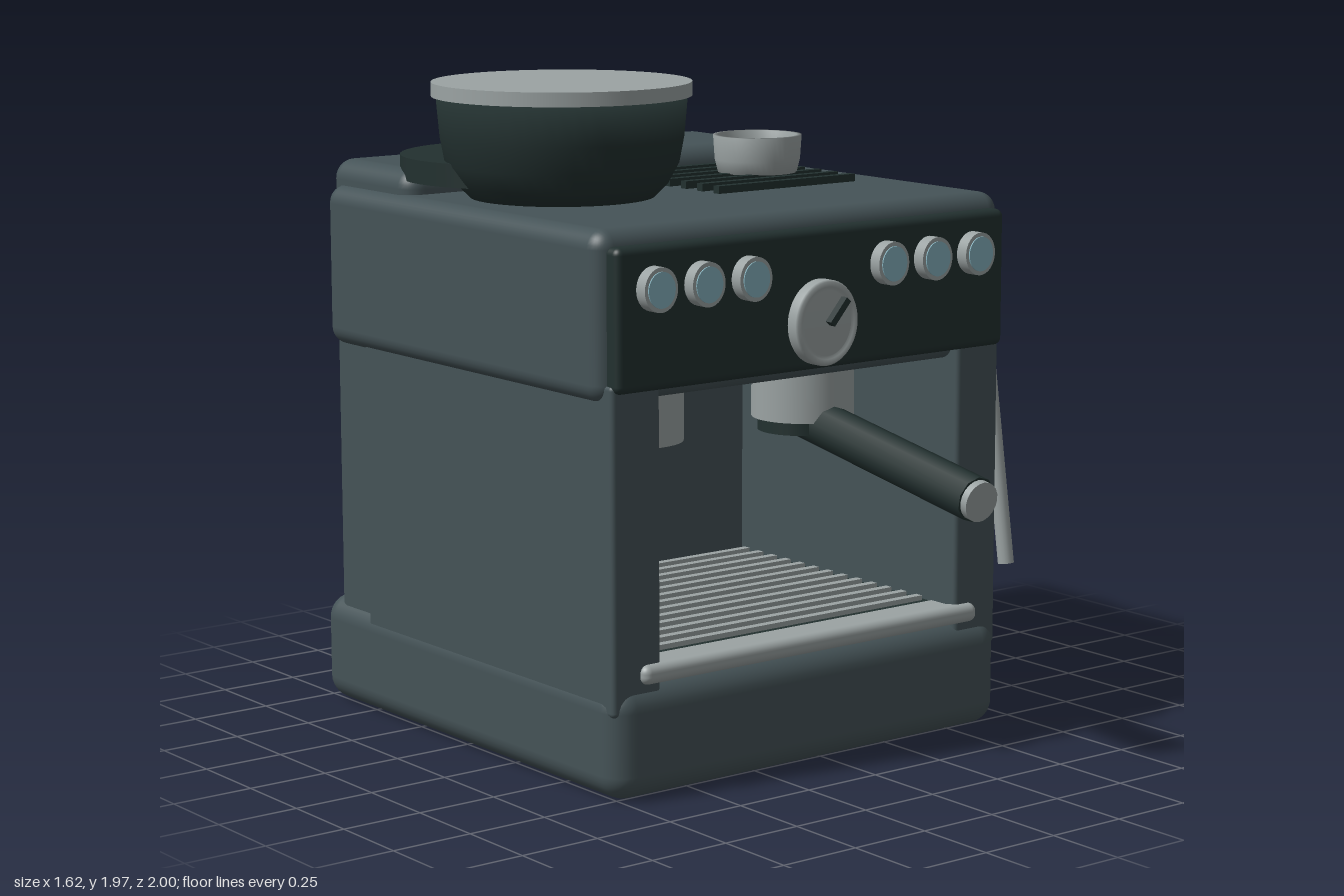
import * as THREE from 'three';
import { RoundedBoxGeometry } from 'three/addons/geometries/RoundedBoxGeometry.js';

const mat = (name, color, side = THREE.FrontSide) => {
  const m = new THREE.MeshStandardMaterial({ color, side });
  m.name = name;
  return m;
};

export function createModel() {
  const body = mat('slate body', 0x455357);
  const dark = mat('dark trim', 0x22302f);
  const metal = mat('brushed metal', 0x9ba3a3, THREE.DoubleSide);
  const blue = mat('button blue', 0x86b3bf);
  const model = new THREE.Group();
  model.name = 'espressoMachine';

  const add = (name, geometry, material, x = 0, y = 0, z = 0, parent = model) => {
    const mesh = new THREE.Mesh(geometry, material);
    mesh.name = name;
    mesh.position.set(x, y, z);
    parent.add(mesh);
    return mesh;
  };
  // Box given by its limits on each axis, rounded when r > 0
  const box = (name, material, [x0, x1], [y0, y1], [z0, z1], r = 0) => {
    const size = [x1 - x0, y1 - y0, z1 - z0];
    const g = r ? new RoundedBoxGeometry(...size, 4, r) : new THREE.BoxGeometry(...size);
    return add(name, g, material, (x0 + x1) / 2, (y0 + y1) / 2, (z0 + z1) / 2);
  };
  // Cylinder running from point a to point b
  const rod = (name, material, a, b, ra, rb = ra, sides = 16) => {
    const p = new THREE.Vector3(...a), q = new THREE.Vector3(...b);
    const d = q.clone().sub(p);
    const mesh = add(name, new THREE.CylinderGeometry(rb, ra, d.length(), sides), material);
    mesh.position.copy(p).add(q).multiplyScalar(0.5);
    mesh.quaternion.setFromUnitVectors(new THREE.Vector3(0, 1, 0), d.normalize());
    return mesh;
  };
  const lathe = (points, sides = 48) =>
    new THREE.LatheGeometry(points.map(([r, y]) => new THREE.Vector2(r, y)), sides);

  // Housing
  box('base', body, [-0.79, 0.67], [0, 0.335], [-1, 0.555], 0.075);
  box('rearHousing', body, [-0.77, 0.65], [0.2, 1.705], [-0.94, -0.495], 0.06);
  box('head', body, [-0.81, 0.69], [1.14, 1.63], [-0.91, 0.51], 0.055);
  box('rightColumn', body, [-0.785, -0.615], [0.25, 1.2], [-0.735, 0.535], 0.015);
  box('leftColumn', body, [0.495, 0.66], [0.25, 1.2], [-0.735, 0.535], 0.015);

  // Control panel
  box('controlPanel', dark, [-0.78, 0.66], [1.175, 1.585], [0.49, 0.555], 0.022);
  for (const x of [-0.657, -0.49, -0.322, 0.19, 0.358, 0.527]) {
    const button = new THREE.Group();
    button.name = 'button';
    button.position.set(x, 1.465, 0.55);
    button.scale.set(0.93, 1.03, 1);
    model.add(button);
    const rim = add('buttonRim', new THREE.CylinderGeometry(0.062, 0.062, 0.045, 32), metal, 0, 0, 0.0225, button);
    rim.rotation.x = Math.PI / 2;
    const face = add('buttonFace', new THREE.CylinderGeometry(0.05, 0.05, 0.006, 32), blue, 0, 0, 0.046, button);
    face.rotation.x = Math.PI / 2;
  }

  // Pressure dial with pointer
  const dial = add('dial', lathe([[0, 0.045], [0.09, 0.045], [0.095, 0.04], [0.1, 0.047], [0.114, 0.047], [0.119, 0.04], [0.119, 0]].reverse()),
    metal, -0.06, 1.315, 0.55);
  dial.rotation.x = Math.PI / 2;
  dial.scale.set(0.97, 1, 1.05);
  const pointer = add('dialPointer', new THREE.BoxGeometry(0.02, 0.09, 0.025), dark, -0.031, 1.348, 0.607);
  pointer.rotation.z = -0.72;

  // Drip tray with slats and front lip
  box('dripTray', dark, [-0.615, 0.495], [0.32, 0.385], [-0.5, 0.5]);
  for (let i = 0; i < 13; i++) {
    const z = -0.45 + i * 0.07;
    box('traySlat', metal, [-0.6, 0.48], [0.384, 0.4], [z - 0.013, z + 0.013]);
  }
  box('trayLipPlate', metal, [-0.615, 0.495], [0.34, 0.388], [0.43, 0.52]);
  box('trayLip', metal, [-0.69, 0.57], [0.335, 0.392], [0.49, 0.56], 0.024);

  // Brew heads
  for (const x of [-0.457, 0.19])
    add('brewHead', new THREE.CylinderGeometry(0.155, 0.155, 0.19, 40), metal, x, 1.055, 0.18);

  // Portafilter
  add('filterBasket', new THREE.CylinderGeometry(0.133, 0.133, 0.09, 32), dark, 0.185, 0.965, 0.18);
  rod('portafilterHandle', dark, [0.185, 0.965, 0.18], [0.185, 0.828, 0.965], 0.068, 0.068, 10);
  rod('handleCap', metal, [0.185, 0.828, 0.965], [0.185, 0.824, 0.988], 0.06, 0.06, 20);

  // Steam wand
  const elbow = [0.77, 1.065, 0.37];
  rod('wandArm', metal, [0.64, 1.14, 0.21], elbow, 0.024);
  rod('wandPipe', metal, elbow, [0.782, 0.467, 0.45], 0.025);
  const joint = add('wandJoint', new THREE.SphereGeometry(0.062, 24, 16), dark, 0.715, 1.035, 0.36);
  joint.scale.x = 1.2;

  // Bean hopper
  add('hopperBase', new THREE.CylinderGeometry(0.362, 0.362, 0.07, 48), dark, -0.405, 1.705, -0.437);
  add('hopperBowl', lathe([[0, 1.62], [0.27, 1.625], [0.315, 1.67], [0.347, 1.73], [0.362, 1.81], [0.373, 1.935], [0, 1.935]]),
    dark, -0.405, 0, -0.222);
  add('hopperLid', new THREE.CylinderGeometry(0.386, 0.386, 0.042, 64), metal, -0.405, 1.95, -0.222);

  // Cup warmer grille and cup
  for (let i = 0; i < 7; i++) {
    const z = -0.46 + i * 0.08;
    box('warmerSlat', dark, [-0.015, 0.515], [1.62, 1.653], [z - 0.013, z + 0.013]);
  }
  add('cup', lathe([[0.108, 1.65], [0.122, 1.65], [0.132, 1.69], [0.137, 1.765], [0.122, 1.765], [0.118, 1.7], [0.108, 1.65]]),
    metal, 0.338, 0, -0.225);

  return model;
}
